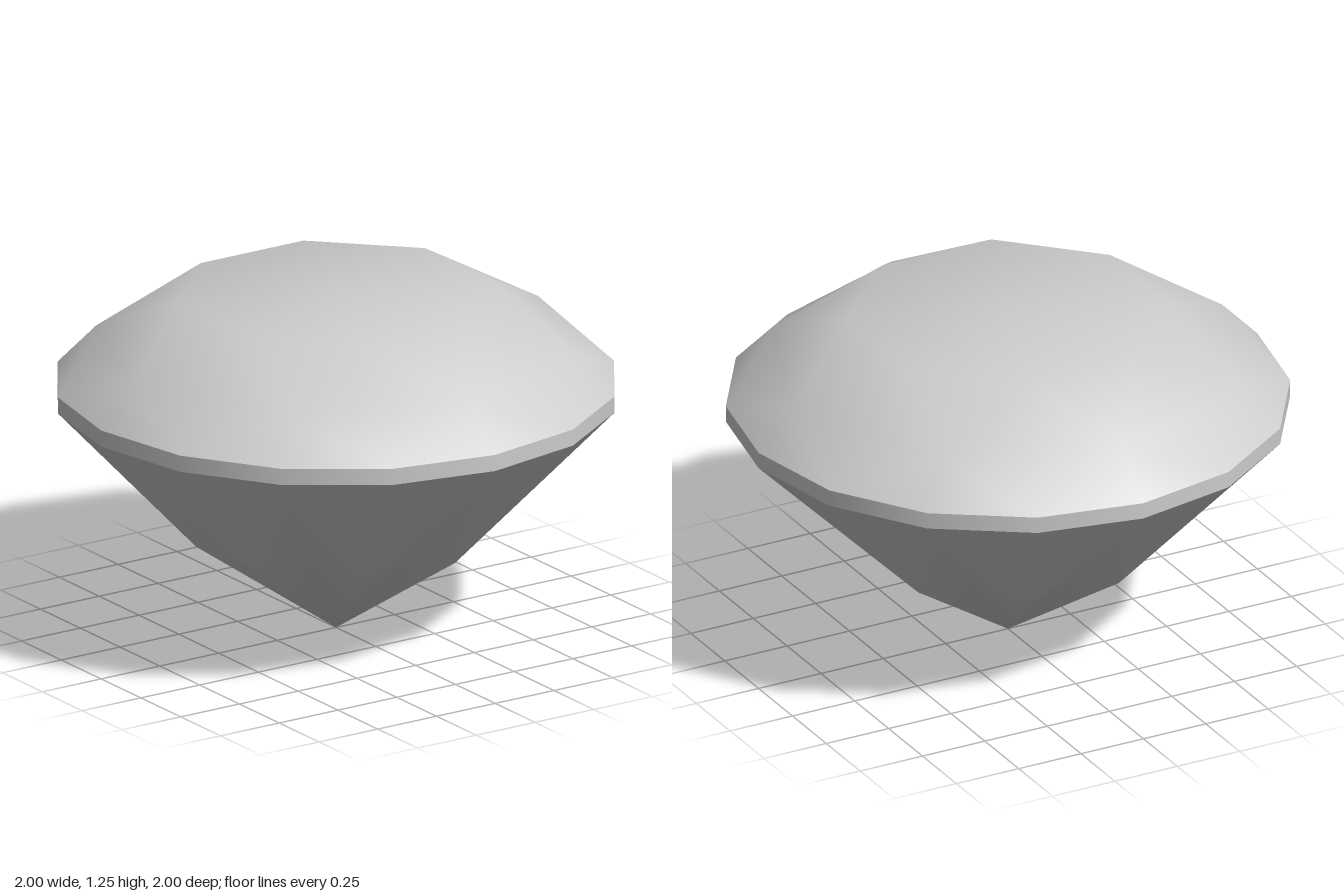
import * as THREE from 'three';

const SIDES = 16;
const GIRDLE_TOP = 0.925, GIRDLE_BOTTOM = 0.865;

// Collects ring vertices and triangles into one smooth indexed geometry.
function facetBuilder() {
  const pos = [], index = [];
  return {
    point(x, y, z) { return pos.push(x, y, z) / 3 - 1; },
    // Ring of vertices; returns a lookup that wraps around.
    ring(count, radius, y, offset = 0) {
      const ids = [];
      for (let i = 0; i < count; i++) {
        const a = (i / count) * Math.PI * 2 + offset;
        ids.push(this.point(radius * Math.cos(a), y, radius * Math.sin(a)));
      }
      return (i) => ids[(i + count) % count];
    },
    tri(a, b, c) { index.push(a, b, c); },
    build() {
      const g = new THREE.BufferGeometry();
      g.setAttribute('position', new THREE.Float32BufferAttribute(pos, 3));
      g.setIndex(index);
      g.computeVertexNormals();
      return g;
    },
  };
}

const HALF = Math.PI / 8; // half of an eighth turn

// Upper part: girdle facets, kites, star facets and the flat table.
function crownGeometry() {
  const f = facetBuilder();
  const g = f.ring(SIDES, 1, GIRDLE_TOP);
  const m = f.ring(8, 0.86, 1.07);
  const t = f.ring(8, 0.57, 1.25, HALF);
  const c = f.point(0, 1.25, 0);
  for (let k = 0; k < 8; k++) {
    f.tri(g(2 * k), m(k), g(2 * k + 1));
    f.tri(g(2 * k - 1), m(k), g(2 * k));
    f.tri(m(k), t(k), m(k + 1));
    f.tri(m(k), m(k + 1), g(2 * k + 1));
    f.tri(t(k - 1), t(k), m(k));
    f.tri(t(k - 1), c, t(k));
  }
  return f.build();
}

// Lower part: girdle facets and long main facets meeting at the point.
function pavilionGeometry() {
  const f = facetBuilder();
  const g = f.ring(SIDES, 1, GIRDLE_BOTTOM);
  const m = f.ring(8, 0.503, 0.335, HALF);
  const c = f.point(0, 0, 0);
  for (let k = 0; k < 8; k++) {
    f.tri(g(2 * k), g(2 * k + 1), m(k));
    f.tri(g(2 * k + 1), g(2 * k + 2), m(k));
    f.tri(m(k), g(2 * k + 2), c);
    f.tri(g(2 * k + 2), m(k + 1), c);
  }
  return f.build();
}

export function createModel() {
  const group = new THREE.Group();
  group.name = 'gemstone';
  const stone = new THREE.MeshStandardMaterial({ color: 0xcccccc });
  stone.name = 'pale grey stone';

  const add = (name, geometry) => {
    const mesh = new THREE.Mesh(geometry, stone);
    mesh.name = name;
    group.add(mesh);
    return mesh;
  };

  add('crown', crownGeometry());
  add('pavilion', pavilionGeometry());

  // Thin band around the widest part
  const girdle = add('girdle', new THREE.CylinderGeometry(1, 1, GIRDLE_TOP - GIRDLE_BOTTOM, SIDES, 1, true));
  girdle.position.y = (GIRDLE_TOP + GIRDLE_BOTTOM) / 2;

  return group;
}
